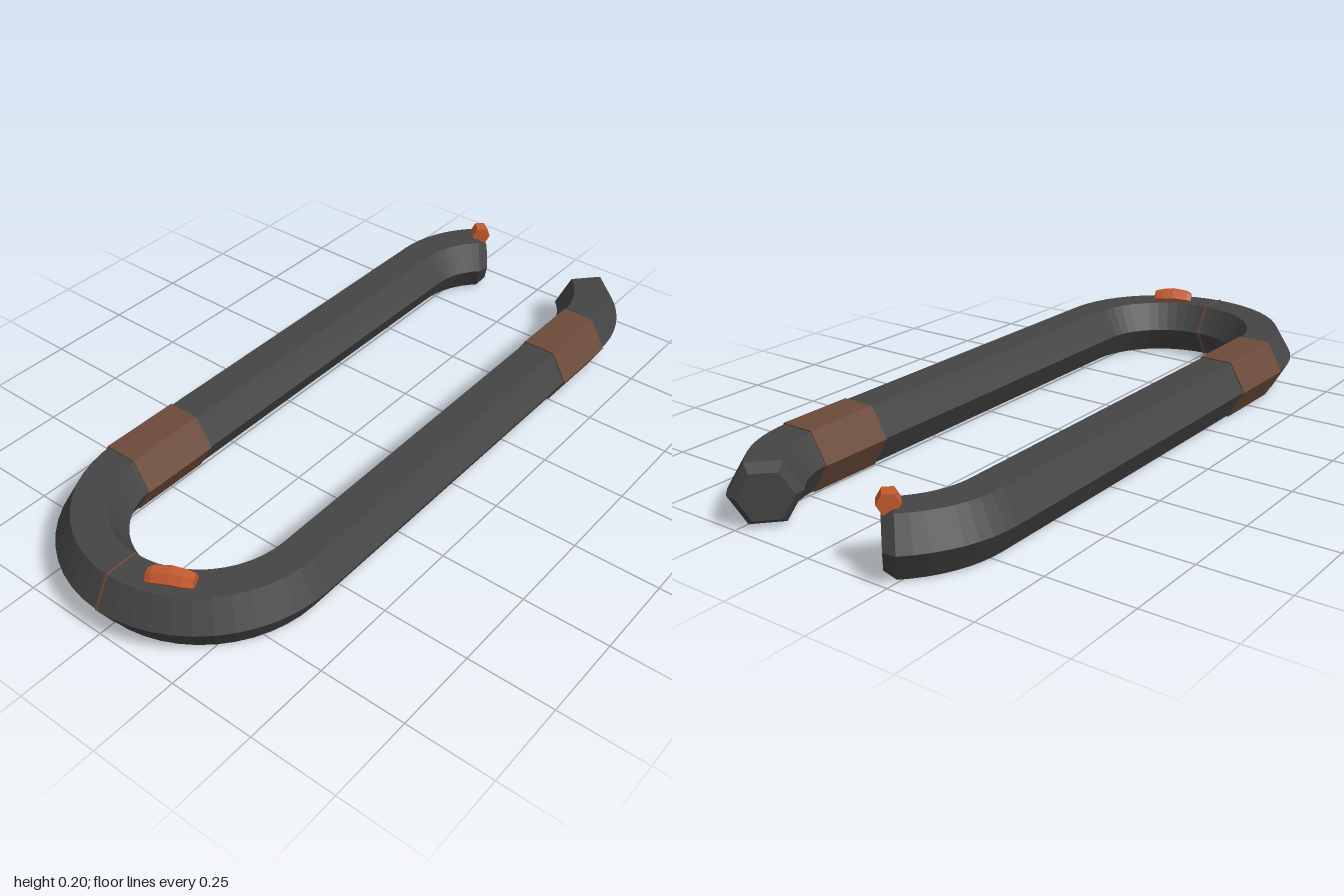
import * as THREE from 'three';

const Y = 0.0855;      // height of the bar's centre line
const R = 0.0945;      // bar section radius
const BAND = 0.0985;   // band section radius
const HALF = 0.305;    // half distance between the two straight runs

// Sweeps a hexagonal section along stations { x, y, z, tx, tz, r }, closing both ends
function hexSweep(stations) {
  const pos = [], idx = [], n = 6;
  for (const { x, y = Y, z, tx, tz, r } of stations) {
    for (let k = 0; k < n; k++) {
      const a = (k / n) * Math.PI * 2;
      const u = r * Math.cos(a);
      pos.push(x + u * tz, y + r * Math.sin(a), z - u * tx);
    }
  }
  const last = (stations.length - 1) * n;
  for (let i = 0; i < last; i += n) {
    for (let k = 0; k < n; k++) {
      const a = i + k, b = i + ((k + 1) % n);
      idx.push(a, b, b + n, a, b + n, a + n);
    }
  }
  for (let k = 1; k < n - 1; k++) {
    idx.push(0, k + 1, k, last, last + k, last + k + 1);
  }
  const g = new THREE.BufferGeometry();
  g.setAttribute('position', new THREE.Float32BufferAttribute(pos, 3));
  g.setIndex(idx);
  const flat = g.toNonIndexed();
  flat.computeVertexNormals();
  return flat;
}

// Front half of the bar: round bend, straight run, inward hook, chamfered tip
function halfPath() {
  const path = [];
  for (let i = 0; i <= 12; i++) {
    const a = (i / 12) * Math.PI / 2;
    path.push({ x: -0.6 - HALF * Math.cos(a), z: HALF * Math.sin(a), tx: Math.sin(a), tz: Math.cos(a), r: R });
  }
  const end = THREE.MathUtils.degToRad(47), rho = 0.292;
  for (let i = 0; i <= 8; i++) {
    const b = (i / 8) * end;
    path.push({ x: 0.713 + rho * Math.sin(b), z: HALF - rho * (1 - Math.cos(b)), tx: Math.cos(b), tz: -Math.sin(b), r: R });
  }
  path.push({ x: 0.947, z: 0.191, tx: Math.cos(end), tz: -Math.sin(end), r: 0.072 });
  return path;
}

export function createModel() {
  const model = new THREE.Group();
  const mat = (name, color) => {
    const m = new THREE.MeshStandardMaterial({ color, flatShading: true });
    m.name = name;
    return m;
  };
  const charcoal = mat('charcoal', 0x444444);
  const brown = mat('brown', 0x6b4a3a);
  const orange = mat('orange', 0xc45a2e);

  const add = (name, stations, material) => {
    const mesh = new THREE.Mesh(hexSweep(stations), material);
    mesh.name = name;
    model.add(mesh);
  };

  // Bent hexagonal bar
  const front = halfPath();
  const back = front.slice(1).reverse().map(s => ({ ...s, z: -s.z, tx: -s.tx }));
  add('bar', [...back, ...front], charcoal);

  // Bands around the straight runs
  const band = (name, x0, x1, z) =>
    add(name, [x0, x1].map(x => ({ x, z, tx: 1, tz: 0, r: BAND })), brown);
  band('frontBand', 0.5, 0.725, HALF);
  band('backBand', -0.62, -0.38, -HALF);

  // Thin seam ring at the middle of the bend
  add('seamRing', [-0.003, 0.003].map(z => ({ x: -0.6 - HALF, z, tx: 0, tz: 1, r: 0.097 })), brown);

  // Arched lug lying along the bend
  const lug = [[-1, 0.021, 0.171], [-0.75, 0.026, 0.175], [0, 0.028, 0.18], [0.6, 0.027, 0.177], [1, 0.022, 0.175]];
  add('bendLug', lug.map(([s, r, y]) => ({
    x: -0.868 + s * 0.027, y, z: 0.135 + s * 0.055, tx: 0.44, tz: 0.9, r,
  })), orange);

  // Small lug set across the back tip
  add('tipLug', [-0.022, 0.022].map(s => ({
    x: 0.934 + s * 0.73, y: 0.178, z: -0.204 - s * 0.68, tx: 0.73, tz: -0.68, r: 0.029,
  })), orange);

  return model;
}
